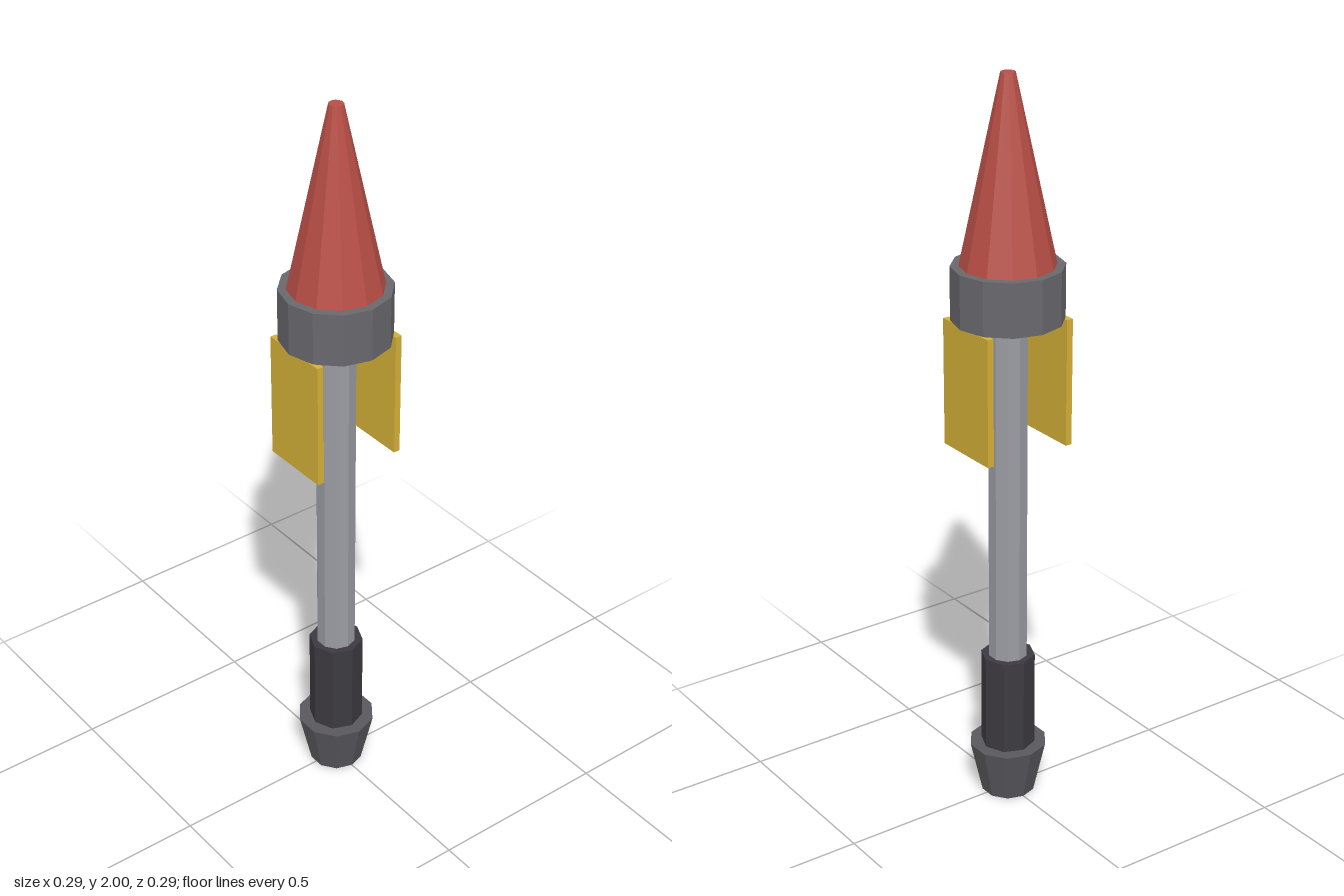
import * as THREE from 'three';

export function createModel() {
  const model = new THREE.Group();
  model.name = 'rocketStaff';

  const add = (name, geometry, color, x, y) => {
    const mesh = new THREE.Mesh(geometry, new THREE.MeshStandardMaterial({ color, flatShading: true }));
    mesh.name = name;
    mesh.position.set(x, y, 0);
    model.add(mesh);
  };

  // Faceted round part spanning y0..y1
  const turned = (name, color, sides, y0, y1, rBottom, rTop = rBottom) =>
    add(name, new THREE.CylinderGeometry(rTop, rBottom, y1 - y0, sides), color, 0, (y0 + y1) / 2);

  turned('pommel', 0x58585d, 10, 0, 0.147, 0.073, 0.106);
  turned('grip', 0x3c3a40, 8, 0.147, 0.415, 0.073);
  turned('shaft', 0x9a9ca2, 10, 0.415, 1.37, 0.053);
  turned('collar', 0x68686d, 12, 1.37, 1.513, 0.146);
  turned('noseCone', 0xb84e46, 12, 1.513, 2, 0.124, 0.019);

  // Flat fins hanging below the collar on both sides
  for (const side of [1, -1]) {
    add(side > 0 ? 'leftFin' : 'rightFin', new THREE.BoxGeometry(0.018, 0.343, 0.195), 0xd4af37, side * 0.122, 1.1985);
  }

  return model;
}
